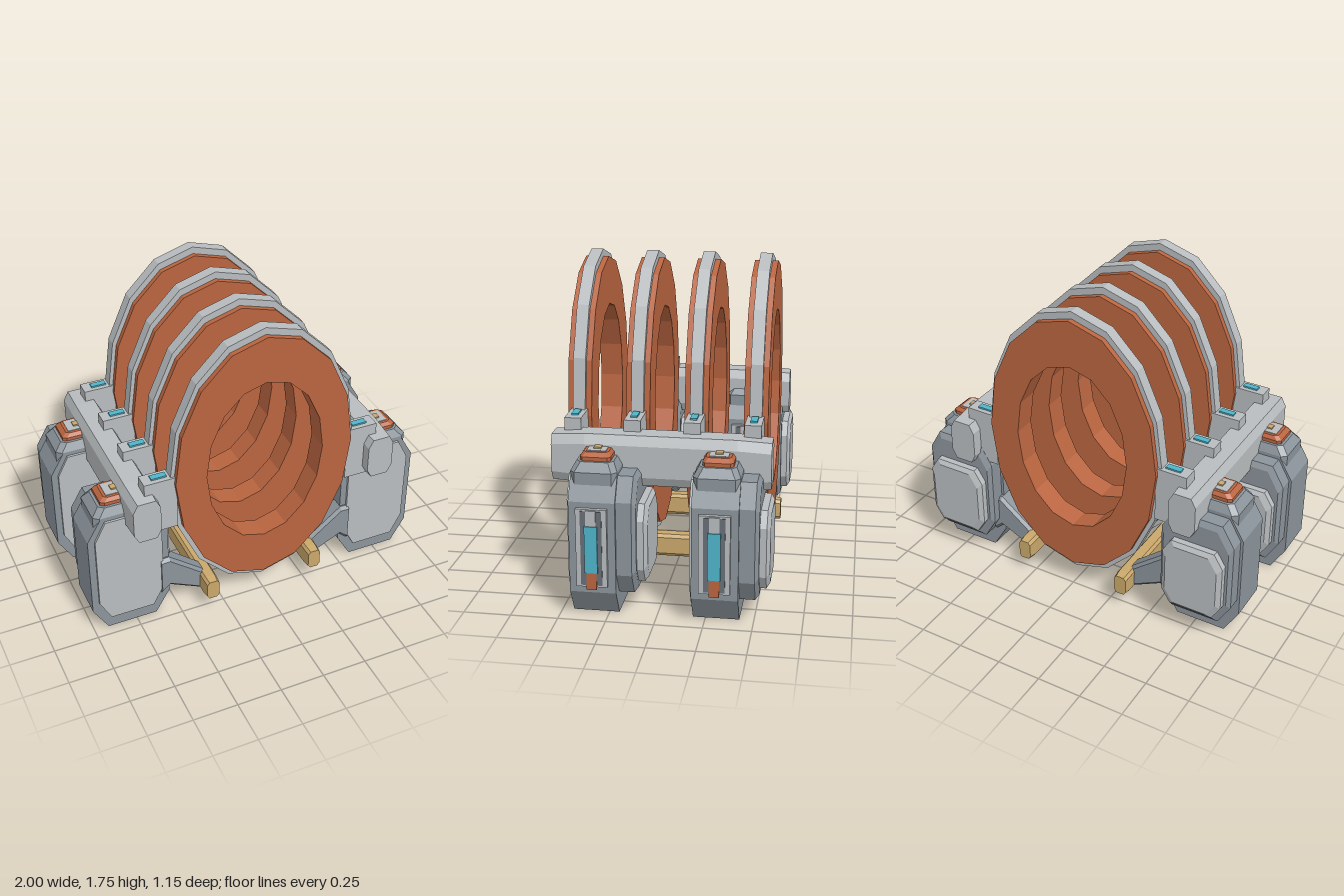
import * as THREE from 'three';

const mat = (name, color) => {
  const m = new THREE.MeshStandardMaterial({ color });
  m.name = name;
  return m;
};

// Flat-faced solid through a list of equal-length point loops, oriented outward
function loft(loops) {
  const tris = [], n = loops[0].length;
  for (let k = 0; k < loops.length - 1; k++) {
    for (let i = 0; i < n; i++) {
      const j = (i + 1) % n, a = loops[k], b = loops[k + 1];
      tris.push([a[i], a[j], b[j]], [a[i], b[j], b[i]]);
    }
  }
  const first = loops[0], last = loops[loops.length - 1];
  for (let i = 1; i < n - 1; i++) {
    tris.push([first[0], first[i + 1], first[i]], [last[0], last[i], last[i + 1]]);
  }
  let volume = 0;
  for (const [a, b, c] of tris) volume += a.dot(b.clone().cross(c));
  const pos = [];
  for (const [a, b, c] of tris) {
    for (const p of volume < 0 ? [a, c, b] : [a, b, c]) pos.push(p.x, p.y, p.z);
  }
  const g = new THREE.BufferGeometry();
  g.setAttribute('position', new THREE.Float32BufferAttribute(pos, 3));
  g.computeVertexNormals();
  return g;
}

// Octagon with half sizes u, v and corner cuts cu, cv, placed by a function
function octagon(u, v, cu, cv, place) {
  return [[u - cu, -v], [u, cv - v], [u, v - cv], [u - cu, v],
    [cu - u, v], [-u, v - cv], [-u, cv - v], [cu - u, -v]].map(([a, b]) => place(a, b));
}

const V = (x, y, z) => new THREE.Vector3(x, y, z);
const atZ = (cx, cy, z) => (a, b) => V(cx + a, cy + b, z);
const atY = (y) => (a, b) => V(a, y, b);

export function createModel() {
  const root = new THREE.Group();
  root.name = 'ringCarrier';
  const body = new THREE.Group();
  body.name = 'assembly';
  body.position.x = -0.02;
  root.add(body);

  const light = mat('light grey', 0xb9bdbf);
  const mid = mat('steel grey', 0x8b949b);
  const dark = mat('dark grey', 0x686f77);
  const copper = mat('copper', 0xba6540);
  const gold = mat('brass', 0xcaa86b);
  const cyan = mat('cyan', 0x4fb5ca);

  const add = (parent, name, geometry, material) => {
    const m = new THREE.Mesh(geometry, material);
    m.name = name;
    parent.add(m);
    return m;
  };
  const box = (parent, name, material, x0, x1, y0, y1, z0, z1) => {
    const m = add(parent, name, new THREE.BoxGeometry(x1 - x0, y1 - y0, z1 - z0), material);
    m.position.set((x0 + x1) / 2, (y0 + y1) / 2, (z0 + z1) / 2);
  };

  // Sixteen-sided oval ring
  const ringGeometry = (rx, ry, hx, hy, depth) => {
    const oval = (a, b) => Array.from({ length: 16 }, (_, i) => {
      const t = i * Math.PI / 8;
      return new THREE.Vector2(a * Math.cos(t), b * Math.sin(t));
    });
    const shape = new THREE.Shape(oval(rx, ry));
    shape.holes.push(new THREE.Path(oval(hx, hy)));
    return new THREE.ExtrudeGeometry(shape, { depth, bevelEnabled: false }).translate(0, 0.938, -depth / 2);
  };
  const coilGeometry = ringGeometry(0.513, 0.768, 0.338, 0.503, 0.127);
  const bandGeometry = ringGeometry(0.535, 0.808, 0.49, 0.74, 0.066);

  // Four coils with bands and side brackets
  for (const z of [0.477, 0.164, -0.148, -0.46]) {
    const coil = new THREE.Group();
    coil.name = 'coil';
    coil.position.z = z;
    body.add(coil);
    add(coil, 'copperRing', coilGeometry, copper);
    add(coil, 'outerBand', bandGeometry, light);
    for (const s of [-1, 1]) {
      const xs = (a, b) => (s > 0 ? [a, b] : [-b, -a]);
      box(coil, 'bracket', light, ...xs(0.5, 0.68), 0.655, 0.976, -0.044, 0.044);
      box(coil, 'bracketLight', cyan, ...xs(0.545, 0.63), 0.976, 0.985, -0.018, 0.018);
    }
  }

  // Side rails, lower bars and arms
  for (const s of [-1, 1]) {
    add(body, 'sideRail', loft([[-0.565, 0.92], [-0.39, 1], [0.4, 1], [0.575, 0.92]].map(([z, k]) =>
      octagon(0.083 * k, 0.134 * k, 0.026, 0.05, atZ(s * 0.688, 0.782, z)))), light);
    add(body, 'lowerBar', loft([[-0.548, 0.9], [-0.5, 1], [0.51, 1], [0.558, 0.9]].map(([z, k]) =>
      octagon(0.04 * k, 0.064 * k, 0.013, 0.018, atZ(s * 0.314, 0.152, z)))), gold);
    for (const z of [-0.405, 0.41]) {
      add(body, 'arm', loft([[0.58, 0.26, 0.12, 0.055], [0.53, 0.283, 0.1, 0.055], [0.33, 0.15, 0.07, 0.05]].map(
        ([x, y, h, w]) => octagon(h, w, 0.02, 0.018, (a, b) => V(s * x, y + a, z + b)))), mid);
    }
  }

  // Stepped octagonal block along z: list of [z, half width, bottom, top]
  const block = (steps, cu, cv) => loft(steps.map(([z, u, y0, y1]) =>
    octagon(u, (y1 - y0) / 2, cu, cv, atZ(0, (y0 + y1) / 2, z))));

  // Four identical leg pods
  for (const x of [-0.755, 0.755]) {
    for (const z of [0.32, -0.305]) {
      const leg = new THREE.Group();
      leg.name = 'legPod';
      leg.position.set(x, 0, z);
      body.add(leg);
      add(leg, 'legCore', block([[-0.12, 0.225, 0, 0.77], [0.12, 0.225, 0, 0.77]], 0.083, 0.14), mid);
      add(leg, 'frontPlate', block([[0.11, 0.187, 0.075, 0.745], [0.134, 0.187, 0.075, 0.745]], 0.062, 0.12), light);
      add(leg, 'rearHousing', block([[-0.1, 0.21, 0.115, 0.75], [-0.2, 0.21, 0.115, 0.75],
        [-0.22, 0.19, 0.14, 0.72]], 0.07, 0.12), mid);
      add(leg, 'rearCover', block([[-0.21, 0.175, 0.176, 0.6], [-0.255, 0.175, 0.176, 0.6],
        [-0.273, 0.15, 0.2, 0.576]], 0.05, 0.08), light);
      add(leg, 'shoulder', loft([[0.6, 0.18, 0.12], [0.77, 0.18, 0.12], [0.815, 0.14, 0.095]].map(([y, u, w]) =>
        octagon(u, w, 0.03, 0.025, atY(y)))), mid);

      // Capped knob on the shoulder
      add(leg, 'knob', loft([[0.78, 0.125, 0.08], [0.835, 0.125, 0.08], [0.855, 0.1, 0.065]].map(([y, u, w]) =>
        octagon(u, w, 0.02, 0.015, atY(y)))), copper);
      box(leg, 'knobPlate', light, -0.085, 0.085, 0.853, 0.859, -0.05, 0.05);
      box(leg, 'knobPin', gold, -0.045, 0.055, 0.855, 0.867, -0.019, 0.019);

      // Gauge panel on the +x face
      box(leg, 'gaugeFrame', light, 0.22, 0.246, 0.18, 0.6, -0.08, 0.08);
      box(leg, 'gaugeRecess', dark, 0.244, 0.249, 0.19, 0.59, -0.055, 0.055);
      box(leg, 'gaugeTrack', light, 0.244, 0.254, 0.5, 0.595, -0.026, 0.026);
      box(leg, 'gaugeWindow', cyan, 0.25, 0.26, 0.26, 0.512, -0.033, 0.033);
      box(leg, 'gaugeTip', copper, 0.246, 0.255, 0.167, 0.26, -0.026, 0.026);
    }
  }
  return root;
}
